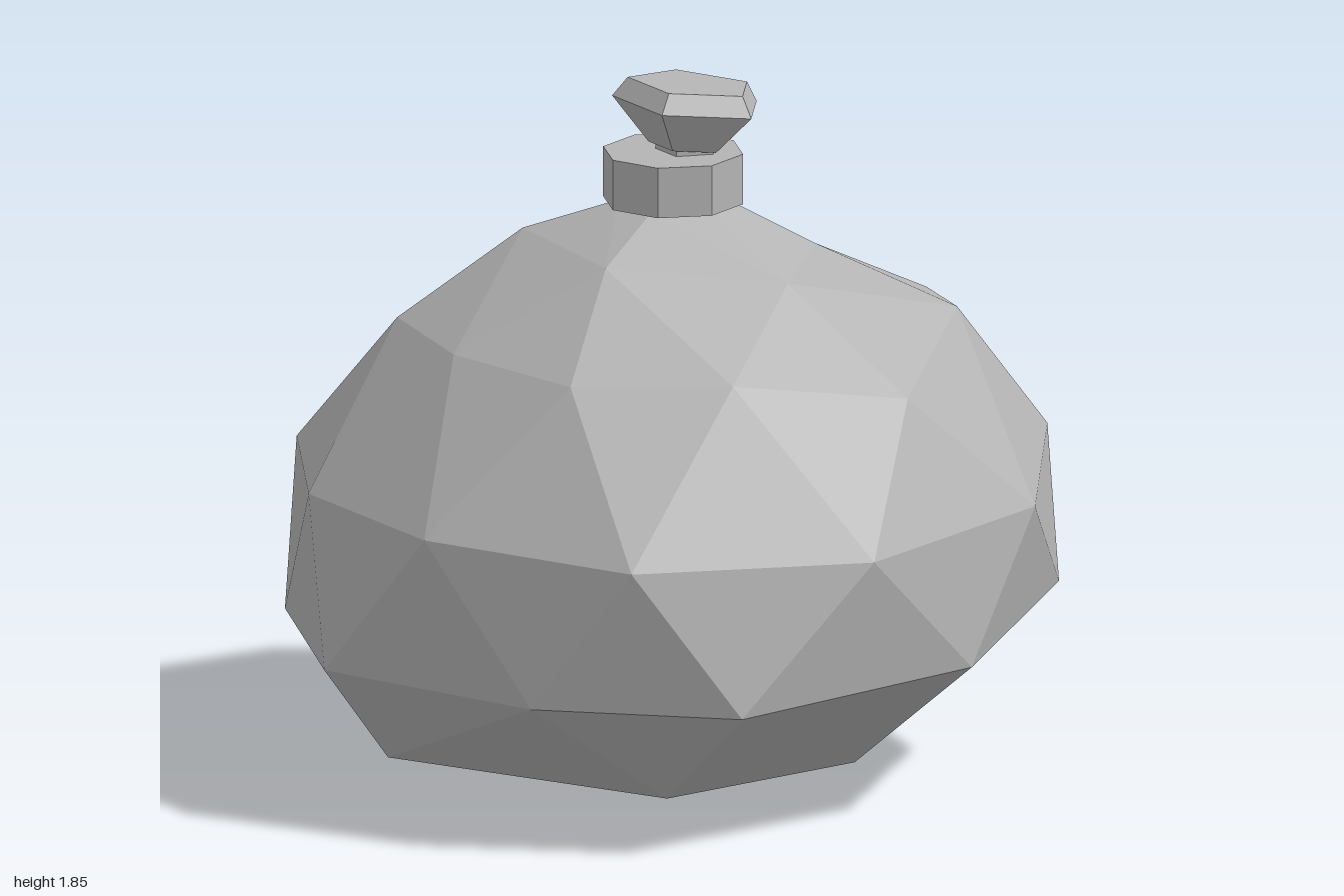
import * as THREE from 'three';

// Body cross-sections from bottom to top; each runs counter-clockwise seen from above, starting at the back
const RINGS = [
  [[-0.13, 0, 0.07]],
  [[-0.20, 0.17, -0.64], [-0.79, 0.11, -0.11], [-0.36, 0.09, 0.57], [0.31, 0.06, 0.43], [0.40, 0.10, -0.28]],
  [[-0.28, 0.40, -0.97], [-0.79, 0.40, -0.61], [-1.0, 0.38, -0.09], [-0.80, 0.40, 0.60], [-0.38, 0.395, 0.965],
    [0.36, 0.42, 0.92], [0.86, 0.50, 0.56], [0.99, 0.505, 0.03], [0.86, 0.50, -0.52], [0.41, 0.50, -0.93]],
  [[-0.61, 0.79, -0.835], [-0.94, 0.81, -0.26], [-0.94, 0.81, 0.30], [-0.63, 0.79, 0.82], [0.01, 0.77, 0.995],
    [0.62, 0.795, 0.82], [0.99, 0.85, 0.30], [0.99, 0.85, -0.26], [0.65, 0.83, -0.71], [0.04, 0.77, -1.0]],
  [[-0.14, 1.18, -0.73], [-0.57, 1.20, -0.41], [-0.67, 1.21, 0.02], [-0.57, 1.20, 0.43], [-0.21, 1.20, 0.655],
    [0.27, 1.12, 0.75], [0.64, 1.24, 0.41], [0.80, 1.18, 0.01], [0.64, 1.24, -0.37], [0.29, 1.13, -0.76]],
  [[-0.29, 1.44, -0.24], [-0.33, 1.44, 0.225], [0.11, 1.38, 0.42], [0.43, 1.36, 0.05], [0.20, 1.39, -0.37]],
  [[-0.11, 1.53, -0.06], [-0.11, 1.53, 0.10], [0.08, 1.50, 0.16], [0.19, 1.50, 0.03], [0.08, 1.51, -0.11]],
  [[0.02, 1.57, 0.02]],
].map((ring) => ring.map((p) => new THREE.Vector3(...p)));

// Joins neighbouring rings with triangles, always taking the shorter diagonal
function stitchRings(rings) {
  const pos = [];
  const tri = (...pts) => pts.forEach((p) => pos.push(p.x, p.y, p.z));
  for (let r = 0; r + 1 < rings.length; r++) {
    const lo = rings[r], hi = rings[r + 1];
    const nLo = lo.length > 1 ? lo.length : 0, nHi = hi.length > 1 ? hi.length : 0;
    let i = 0, j = 0;
    while (i < nLo || j < nHi) {
      const a = lo[i % lo.length], a2 = lo[(i + 1) % lo.length];
      const b = hi[j % hi.length], b2 = hi[(j + 1) % hi.length];
      const stepLow = j >= nHi || (i < nLo && a2.distanceTo(b) < b2.distanceTo(a));
      if (stepLow) { tri(a, a2, b); i++; } else { tri(a, b2, b); j++; }
    }
  }
  const geo = new THREE.BufferGeometry();
  geo.setAttribute('position', new THREE.Float32BufferAttribute(pos, 3));
  geo.computeVertexNormals();
  return geo;
}

export function createModel() {
  const model = new THREE.Group();
  model.name = 'flask';
  const grey = new THREE.MeshStandardMaterial({ color: 0xb4b4b4, flatShading: true });
  grey.name = 'grey';

  const add = (name, geo, x = 0, y = 0, z = 0) => {
    const mesh = new THREE.Mesh(geo, grey);
    mesh.name = name;
    mesh.position.set(x, y, z);
    model.add(mesh);
    return mesh;
  };

  // Faceted round body
  add('body', stitchRings(RINGS));

  // Eight-sided collar around the neck
  add('collar', new THREE.CylinderGeometry(0.187, 0.187, 0.135, 8), 0.01, 1.597, 0.02);

  // Short stem and tilted five-sided stopper
  add('stopperStem', new THREE.CylinderGeometry(0.085, 0.085, 0.08, 5), 0.05, 1.655, 0.03).rotation.y = Math.PI / 2;
  const profile = [[0, 0], [0.1, 0], [0.206, 0.112], [0.17, 0.165], [0, 0.165]].map((p) => new THREE.Vector2(...p));
  const stopper = add('stopper', new THREE.LatheGeometry(profile, 5, Math.PI / 2), 0.045, 1.675, 0.03);
  stopper.rotation.z = -0.11;

  return model;
}
